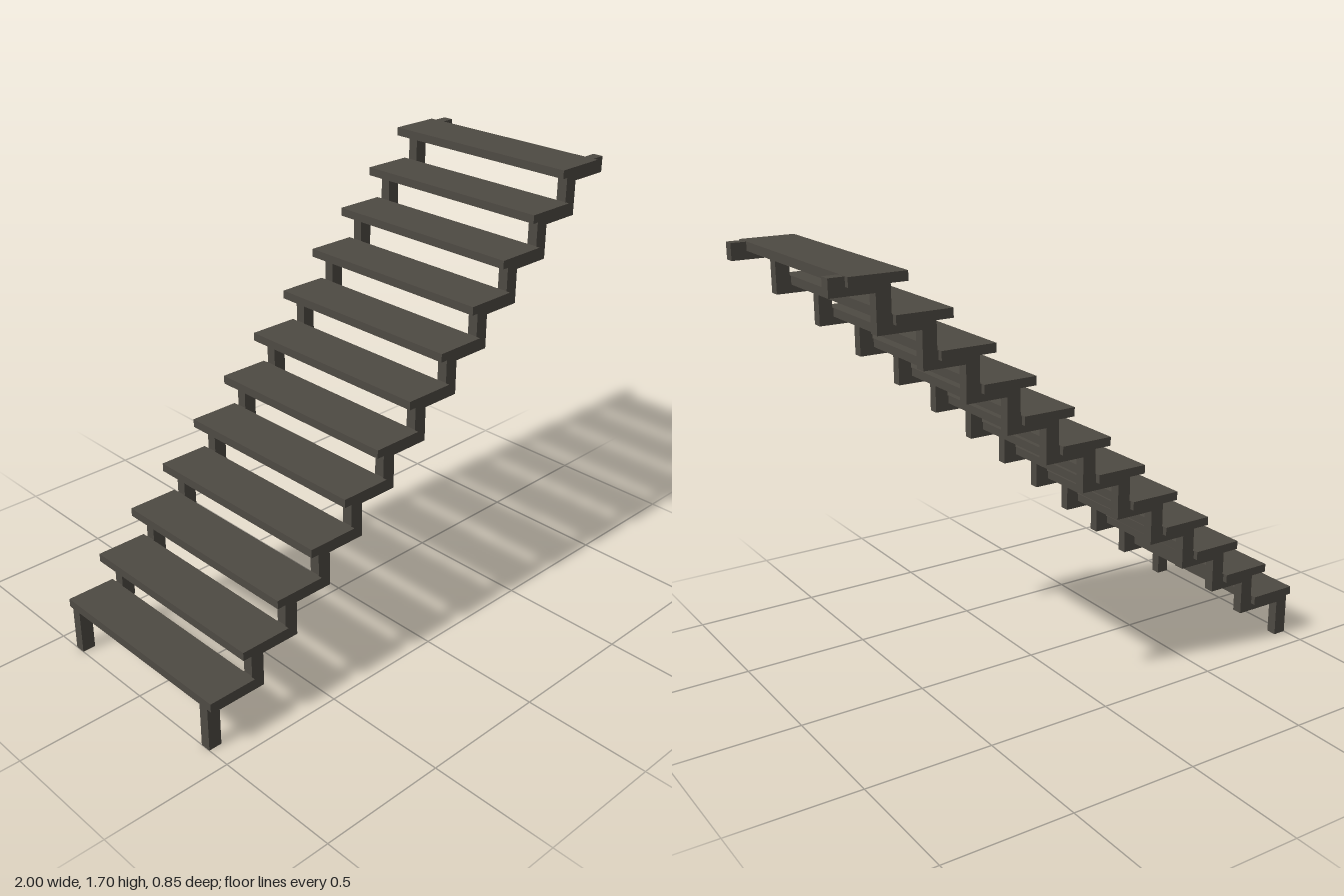
import * as THREE from 'three';

const STEPS = 12, RISE = 0.1355, RUN = 0.1588;
const riserX = i => -0.8 + RUN * i;      // near face of each riser
const topY = i => 0.211 + RISE * i;      // top of each tread
const POST = 0.053, BAR = 0.063;         // stringer section sizes

// Zigzag outline of one stringer, foot to landing and back underneath
function stringerShape() {
  const last = STEPS - 1, lower = 0.001;
  const pts = [[-1, 0], [-1, topY(0) - lower]];
  for (let i = 0; i < last; i++) {
    pts.push([riserX(i), topY(i) - lower], [riserX(i), topY(i + 1) - lower]);
  }
  pts.push([1, topY(last) - lower], [1, topY(last) - BAR]);
  for (let i = last - 1; i >= 0; i--) {
    const x = riserX(i) + POST;
    pts.push([x, topY(i + 1) - BAR], [x, topY(i) - BAR]);
  }
  pts.push([-1 + POST, topY(0) - BAR], [-1 + POST, 0]);
  return new THREE.Shape(pts.map(([x, y]) => new THREE.Vector2(x, y)));
}

export function createModel() {
  const model = new THREE.Group();
  model.name = 'staircase';
  const darkWood = new THREE.MeshStandardMaterial({ color: 0x4e4a43 });
  darkWood.name = 'dark wood';

  // Two stringers, front and back
  const width = 0.042;
  const stringerGeo = new THREE.ExtrudeGeometry(stringerShape(), { depth: width, bevelEnabled: false });
  for (const [name, z] of [['frontStringer', 0.363], ['backStringer', -0.363 - width]]) {
    const stringer = new THREE.Mesh(stringerGeo, darkWood);
    stringer.name = name;
    stringer.position.z = z;
    model.add(stringer);
  }

  // Treads, each let into the stringers and overhanging them at both ends
  const thick = 0.033;
  for (let i = 0; i < STEPS; i++) {
    const right = riserX(i) - 0.004;
    const left = Math.max(-1, right - 0.206);
    const tread = new THREE.Mesh(new THREE.BoxGeometry(right - left, thick, 0.85), darkWood);
    tread.name = `tread${i + 1}`;
    tread.position.set((left + right) / 2, topY(i) - thick / 2, 0);
    model.add(tread);
  }
  return model;
}
